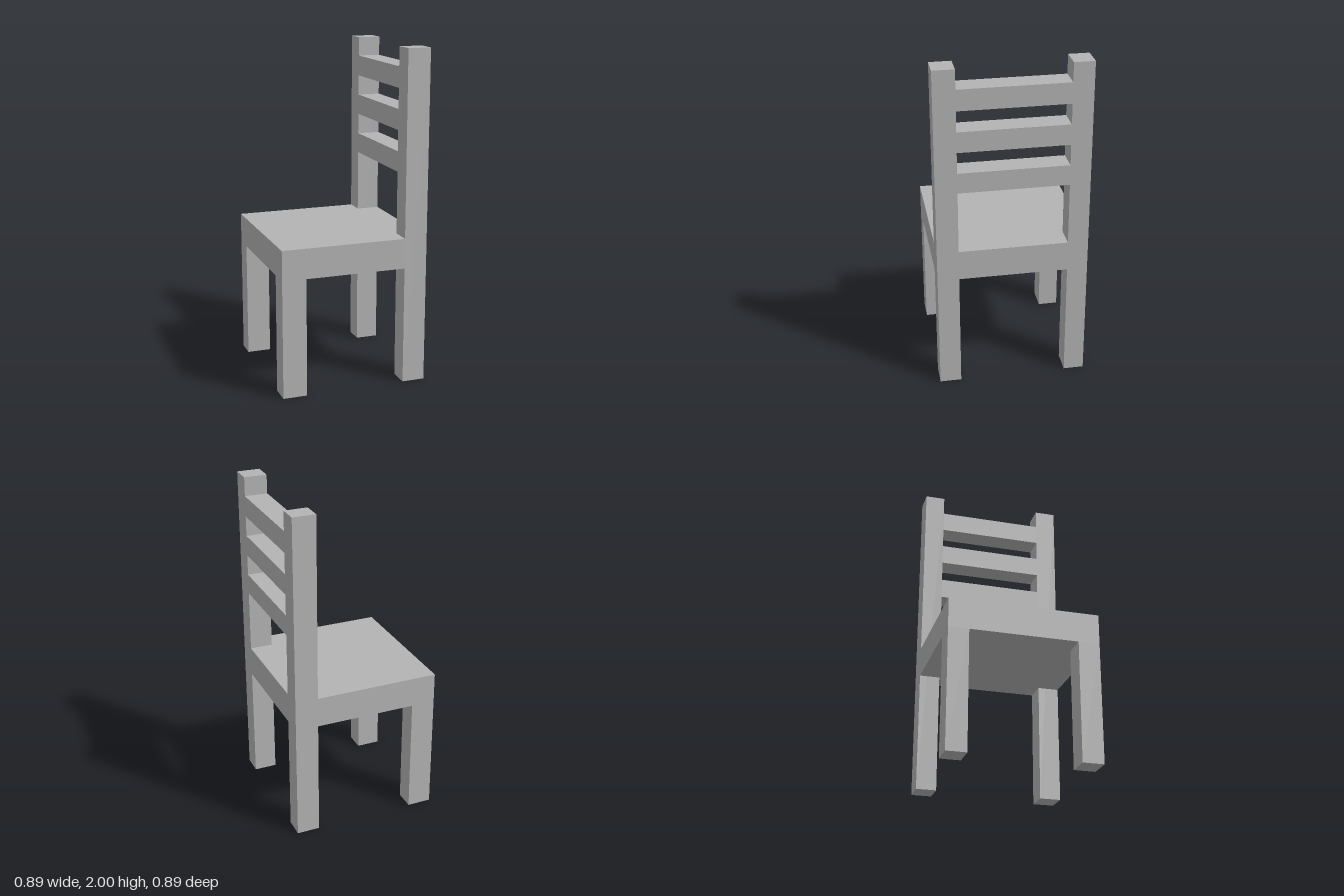
import * as THREE from 'three';

export function createModel() {
  const chair = new THREE.Group();
  chair.name = 'chair';
  const grey = new THREE.MeshStandardMaterial({ color: 0xb3b3b3 });
  grey.name = 'grey';

  // Box given by its extents along each axis
  function block(name, [x0, x1], [y0, y1], [z0, z1]) {
    const mesh = new THREE.Mesh(new THREE.BoxGeometry(x1 - x0, y1 - y0, z1 - z0), grey);
    mesh.position.set((x0 + x1) / 2, (y0 + y1) / 2, (z0 + z1) / 2);
    mesh.name = name;
    chair.add(mesh);
  }

  const half = 0.445;
  const back = [0.307, half];
  const seatY = [0.714, 0.895];
  const sides = { Left: [-half, -0.324], Right: [0.318, half] };
  const between = [sides.Left[1], sides.Right[0]];

  // Short front legs and tall back posts
  for (const [side, z] of Object.entries(sides)) {
    block('frontLeg' + side, [-half, -0.3], [0, seatY[0]], z);
    block('backPost' + side, back, [0, 2], z);
  }

  // Seat slab, continued between the back posts
  block('seat', [-half, back[0]], seatY, [-half, half]);
  block('seatRear', back, seatY, between);

  // Backrest slats, flush with the posts
  [[1.27, 1.392], [1.517, 1.64], [1.762, 1.886]].forEach((y, i) => {
    block('backSlat' + (i + 1), back, y, between);
  });

  return chair;
}
